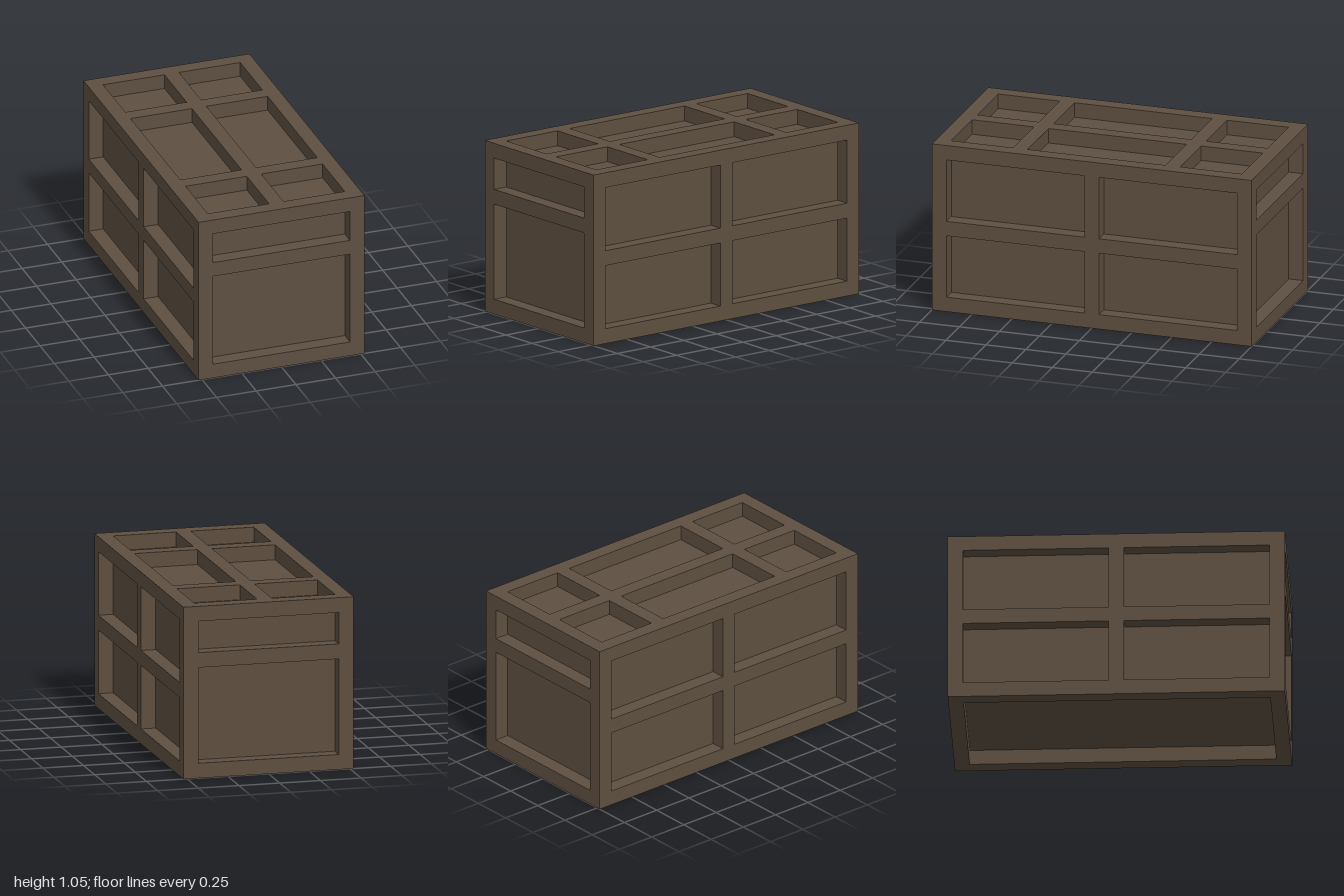
import * as THREE from 'three';

export function createModel() {
  const group = new THREE.Group();
  const wood = new THREE.MeshStandardMaterial({ color: 0x5e4f40 });
  wood.name = 'dark brown';

  const T = 1 / 11;          // beam thickness and recess depth
  const W = 11.5 * T;        // width and height
  const X = W / 2, Z = 1;    // half width, half length

  // Box spanning two opposite corners
  function box(name, x0, x1, y0, y1, z0, z1) {
    const mesh = new THREE.Mesh(new THREE.BoxGeometry(x1 - x0, y1 - y0, z1 - z0), wood);
    mesh.position.set((x0 + x1) / 2, (y0 + y1) / 2, (z0 + z1) / 2);
    mesh.name = name;
    group.add(mesh);
  }
  // The span of one beam at the outer edge on the given side
  const edge = (s, half) => (s > 0 ? [half - T, half] : [-half, T - half]);

  // Recessed body behind the frame
  box('innerBody', T - X, X - T, T, W - T, T - Z, Z - T);

  for (const s of [-1, 1]) {
    const ex = edge(s, X), ez = edge(s, Z);

    for (const t of [-1, 1]) box('cornerPost', ...ex, 0, W, ...edge(t, Z));

    // Rails at the bottom and top edges
    for (const y of [0, W - T]) {
      box('longRail', ...ex, y, y + T, T - Z, Z - T);
      box('endRail', T - X, X - T, y, y + T, ...ez);
    }

    // Long sides: a cross of beams making four panels
    box('sideCrossRail', ...ex, X - T / 2, X + T / 2, T - Z, Z - T);
    box('sideLowerMullion', ...ex, T, X - T / 2, -T / 2, T / 2);
    box('sideUpperMullion', ...ex, X + T / 2, W - T, -T / 2, T / 2);

    // Ends: one rail above a tall panel
    box('endMiddleRail', T - X, X - T, 7.4 * T, 8.4 * T, ...ez);

    // Lid: two cross beams, one on each side of the middle
    const zc = s * 5.25 * T;
    for (const t of [-1, 1]) {
      const [a, b] = t > 0 ? [T / 2, X - T] : [T - X, -T / 2];
      box('lidCrossBeam', a, b, W - T, W, zc - T / 2, zc + T / 2);
    }
  }

  // Lid: centre beam along the length
  box('lidCentreBeam', -T / 2, T / 2, W - T, W, T - Z, Z - T);

  return group;
}
